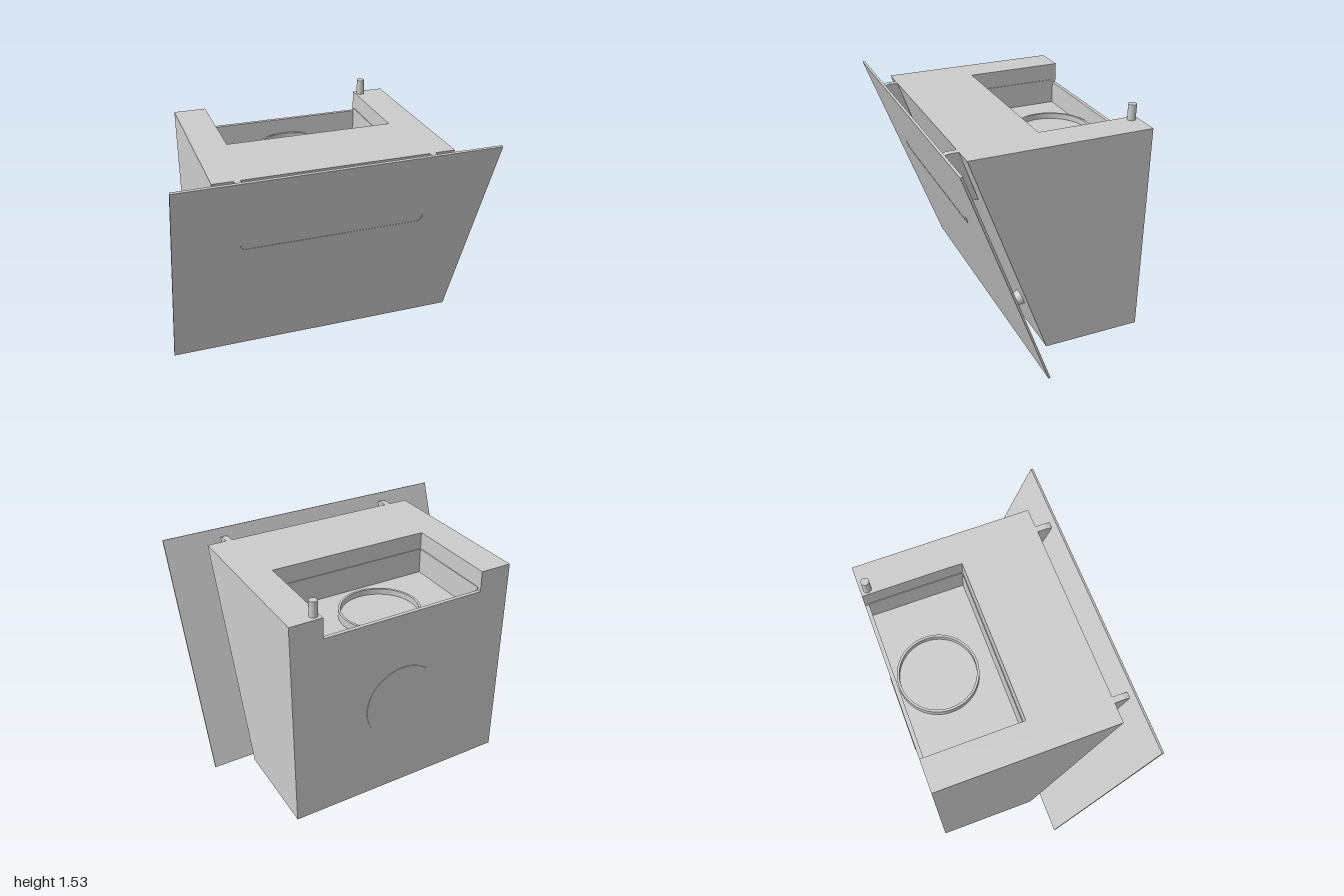
import * as THREE from 'three';

const grey = new THREE.MeshStandardMaterial({ color: 0xcccccc, side: THREE.DoubleSide });

export function createModel() {
  const hood = new THREE.Group();
  hood.name = 'cookerHood';

  const add = (name, geometry, x = 0, y = 0, z = 0, parent = hood) => {
    const mesh = new THREE.Mesh(geometry, grey);
    mesh.name = name;
    mesh.position.set(x, y, z);
    parent.add(mesh);
    return mesh;
  };
  // Side profile of [z, y] points, extruded across x and centred on x = 0
  const sideExtrude = (points, width) => {
    const shape = new THREE.Shape(points.map(([z, y]) => new THREE.Vector2(z, y)));
    return new THREE.ExtrudeGeometry(shape, { depth: width, bevelEnabled: false })
      .rotateY(-Math.PI / 2).translate(width / 2, 0, 0);
  };
  const box = (w, h, d) => new THREE.BoxGeometry(w, h, d);

  // Wedge-shaped housing: two full cheeks and a middle with the open recess
  const floorY = 1.15, recessX = 0.54;
  const cheek = [[-0.645, 0.035], [0.01, 0.035], [0.52, 1.435], [-0.645, 1.435]];
  const middle = [[-0.645, 0.035], [0.01, 0.035], [0.52, 1.435], [0, 1.435],
    [0, floorY], [-0.62, floorY], [-0.62, 1.3], [-0.645, 1.3]];
  add('housingMiddle', sideExtrude(middle, recessX * 2));
  for (const s of [-1, 1]) add('housingCheek', sideExtrude(cheek, 0.21), s * 0.645);

  // Thin liner inside the recess
  for (const s of [-1, 1]) add('recessLiner', box(0.005, 0.17, 0.62), s * 0.5375, floorY + 0.085, -0.31);
  add('recessLiner', box(1.08, 0.17, 0.005), 0, floorY + 0.085, -0.0025);

  // Air outlet collar on the recess floor
  const collar = [[0.24, 0], [0.24, 0.05], [0.255, 0.05], [0.255, 0]].flatMap(([r, y], i, all) => {
    // Doubled corners keep the rim edges sharp
    const p = new THREE.Vector2(r, y);
    return i === 0 || i === all.length - 1 ? [p] : [p, p.clone()];
  });
  add('outletCollar', new THREE.LatheGeometry(collar, 64), 0, floorY, -0.36);
  add('outletCover', new THREE.CylinderGeometry(0.24, 0.24, 0.012, 64), 0, floorY + 0.006, -0.36);

  // Round knock-out cover on the back
  add('rearCover', new THREE.CylinderGeometry(0.255, 0.255, 0.006, 64).rotateX(Math.PI / 2), 0, 0.675, -0.646);

  // Cable gland
  add('cableGland', new THREE.CylinderGeometry(0.026, 0.026, 0.1, 24), 0.577, 1.485, -0.6);

  // Leaning glass front
  add('frontPanel', sideExtrude([[0.112, 0], [0.65, 1.475], [0.636, 1.48], [0.1, 0.005]], 2));

  // Fine curved-end seam on the glass
  const onGlass = (x, y) => new THREE.Vector3(x, y, 0.112 + 0.3647 * y);
  const seam = new THREE.CurvePath();
  const pts = [[-0.59, 1], [-0.585, 0.96], [-0.565, 0.945], [0.565, 0.945], [0.585, 0.96], [0.59, 1]]
    .map(([x, y]) => onGlass(x, y));
  for (let i = 1; i < pts.length; i++) seam.add(new THREE.LineCurve3(pts[i - 1], pts[i]));
  add('panelSeam', new THREE.TubeGeometry(seam, 120, 0.002, 6));

  // Hinge brackets above, spacers below
  const bracket = [[0.41, 1.12], [0.475, 1.12], [0.512, 1.145], [0.617, 1.425], [0.58, 1.435], [0.52, 1.435]];
  const lean = Math.atan2(0.94, -0.343);
  for (const s of [-1, 1]) {
    add('hingeBracket', sideExtrude(bracket, 0.04), s * 0.603);
    const spacer = new THREE.Group();
    spacer.name = 'panelSpacer';
    spacer.position.set(s * 0.6, 0.325, 0.215);
    spacer.rotation.x = lean;
    hood.add(spacer);
    add('spacerCone', new THREE.CylinderGeometry(0.037, 0.05, 0.11, 32), 0, -0.055, 0, spacer);
    add('spacerFlange', new THREE.CylinderGeometry(0.063, 0.063, 0.012, 32), 0, -0.002, 0, spacer);
  }

  // Underside: light strip and control plate
  add('lightStrip', box(1.12, 0.004, 0.012), 0, 0.034, -0.08);
  add('controlPlate', box(0.13, 0.004, 0.12), 0.49, 0.034, -0.28);

  return hood;
}
